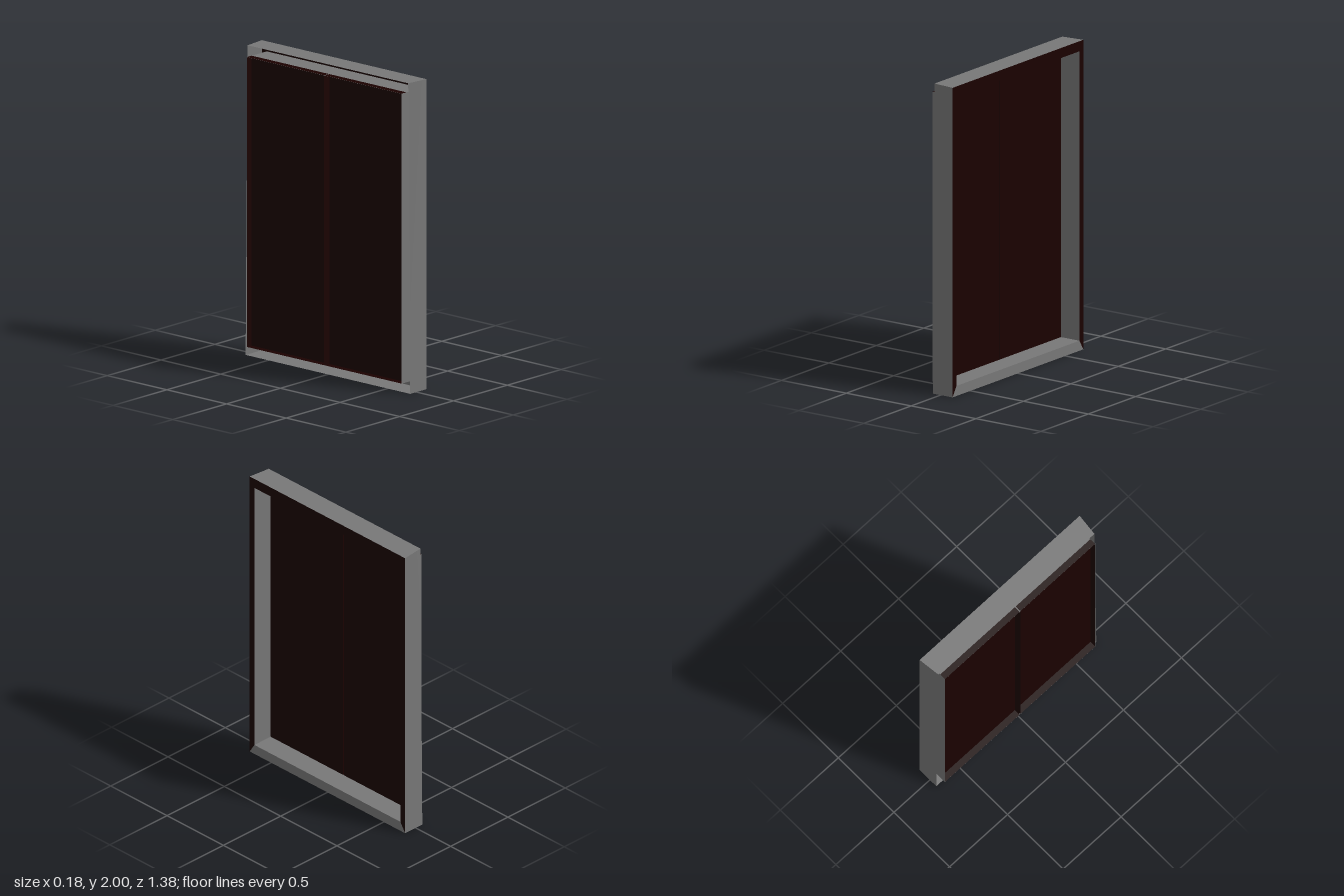
import * as THREE from 'three';

const gray = new THREE.MeshStandardMaterial({ color: 0x777777, side: THREE.DoubleSide });
gray.name = 'frame gray';
const brown = new THREE.MeshStandardMaterial({ color: 0x1a0100, side: THREE.DoubleSide });
brown.name = 'dark brown';

// Main dimensions
const FRONT = 0.092, BACK = -0.058, TUNNEL_BACK = -0.092, LEAF_FRONT = -0.049;
const W = 0.69, H = 2, OPEN_W = 0.648, OPEN_LOW = 0.065, OPEN_HIGH = 1.935;
const TAPER = 0.673; // half width at the rear top corners
const GAP = 0.004;   // half the gap between the leaves

// Four-cornered panel with shared, smoothed corners
function panel(name, material, a, b, c, d) {
  const g = new THREE.BufferGeometry();
  g.setAttribute('position', new THREE.Float32BufferAttribute([a, b, c, d].flat(), 3));
  g.setIndex([0, 1, 2, 0, 2, 3]);
  g.computeVertexNormals();
  const mesh = new THREE.Mesh(g, material);
  mesh.name = name;
  return mesh;
}

// Point at depth x on an outline given as [z, y]
const at = (x, [z, y]) => [x, y, z];

// Door leaf: a front sheet with four folded edges, open at the rear
function doorLeaf(name, zMin, zMax) {
  const leaf = new THREE.Group();
  leaf.name = name;
  const low = OPEN_LOW + 0.0008, high = OPEN_HIGH + 0.0008;
  const rim = [[zMax, low], [zMin, low], [zMin, high], [zMax, high]];
  leaf.add(panel('leafSheet', brown, ...rim.map((p) => at(LEAF_FRONT, p))));
  rim.forEach((p, i) => {
    const q = rim[(i + 1) % 4];
    leaf.add(panel('leafEdge', brown,
      at(LEAF_FRONT, q), at(LEAF_FRONT, p), at(TUNNEL_BACK, p), at(TUNNEL_BACK, q)));
  });
  return leaf;
}

export function createModel() {
  const group = new THREE.Group();
  group.name = 'doubleDoorway';

  // Outlines running bottom, far side, top, near side
  const outer = [[W, 0], [-W, 0], [-W, H], [W, H]];
  const inner = [[OPEN_W, OPEN_LOW], [-OPEN_W, OPEN_LOW], [-OPEN_W, OPEN_HIGH], [OPEN_W, OPEN_HIGH]];
  const rear = [[W, 0], [-W, 0], [-TAPER, H], [TAPER, H]];
  const sides = ['Sill', 'RearJamb', 'Lintel', 'FrontJamb'];

  sides.forEach((side, i) => {
    const j = (i + 1) % 4;
    // Mitred face; only the sill is gray
    group.add(panel('face' + side, i === 0 ? gray : brown,
      at(FRONT, outer[i]), at(FRONT, outer[j]), at(FRONT, inner[j]), at(FRONT, inner[i])));
    // Outer shell, open at the rear
    const shell = [at(FRONT, outer[j]), at(FRONT, outer[i]), at(BACK, rear[i]), at(BACK, rear[j])];
    // Split the twisted side walls from the front top corner
    if (i === 3) shell.push(shell.shift());
    group.add(panel('shell' + side, gray, ...shell));
    // Reveal lining the opening
    group.add(panel('reveal' + side, gray,
      at(FRONT, inner[i]), at(FRONT, inner[j]), at(TUNNEL_BACK, inner[j]), at(TUNNEL_BACK, inner[i])));
  });

  // Pair of door leaves with a narrow gap between them
  const edge = OPEN_W - 0.0005;
  group.add(doorLeaf('doorLeafFront', GAP, edge), doorLeaf('doorLeafRear', -edge, -GAP));
  return group;
}
